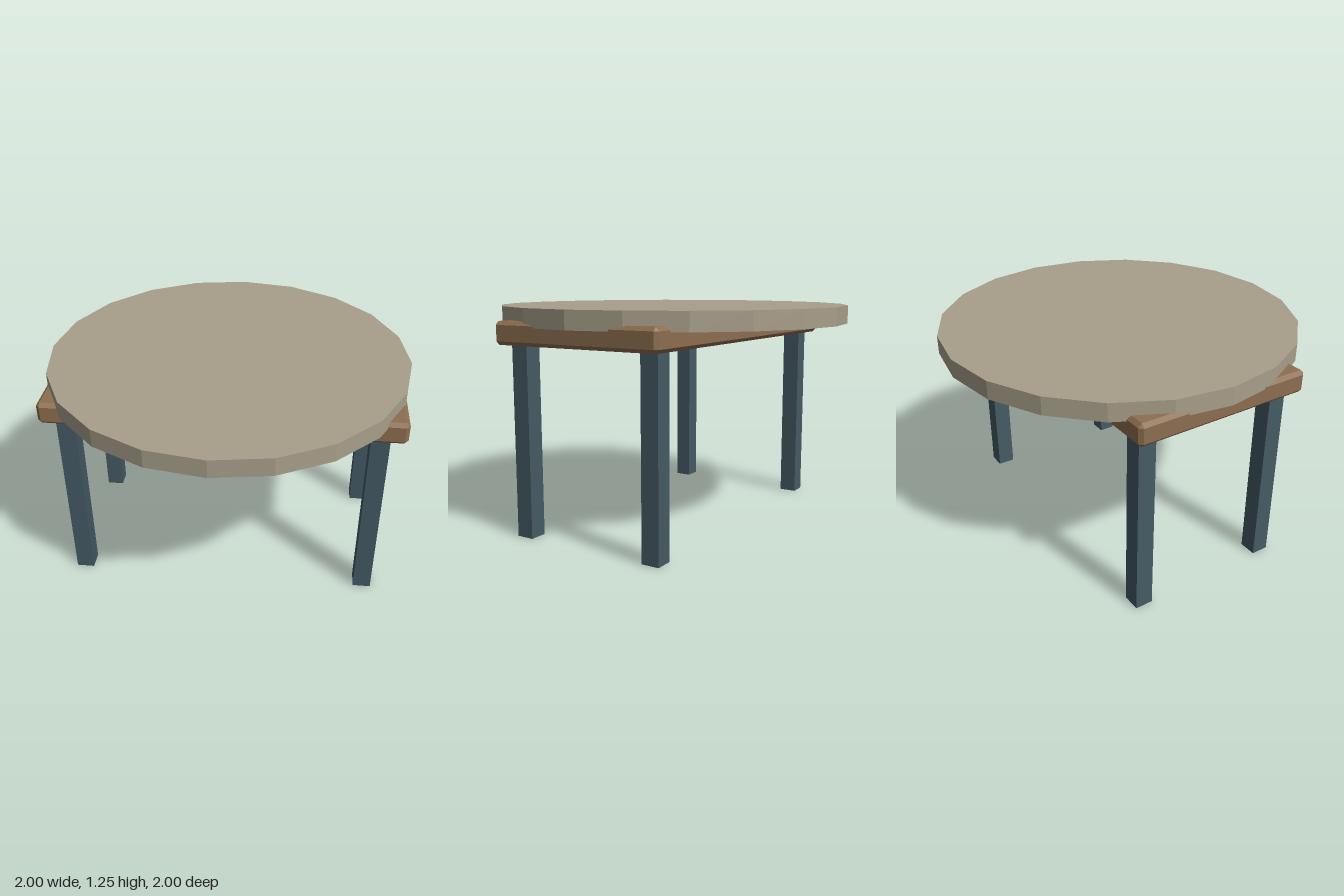
import * as THREE from 'three';
import { ConvexGeometry } from 'three/addons/geometries/ConvexGeometry.js';

const material = (color) => new THREE.MeshStandardMaterial({ color, flatShading: true });

// Box with every edge cut by a single flat chamfer
function chamferedBox(w, h, d, c) {
  const [x, y, z] = [w / 2, h / 2, d / 2];
  const points = [];
  for (const sx of [-1, 1]) for (const sy of [-1, 1]) for (const sz of [-1, 1]) {
    points.push(
      new THREE.Vector3(sx * x, sy * (y - c), sz * (z - c)),
      new THREE.Vector3(sx * (x - c), sy * y, sz * (z - c)),
      new THREE.Vector3(sx * (x - c), sy * (y - c), sz * z),
    );
  }
  return new ConvexGeometry(points);
}

export function createModel() {
  const group = new THREE.Group();
  group.name = 'table';

  const add = (name, geometry, mat, x, y, z) => {
    const mesh = new THREE.Mesh(geometry, mat);
    mesh.name = name;
    mesh.position.set(x, y, z);
    group.add(mesh);
  };

  // Twenty-sided round top
  add('tableTop', new THREE.CylinderGeometry(1, 1, 0.1, 20), material(0xa89f8a), 0, 1.2, 0);

  // Wooden board, its upper part sunk into the round top
  add('baseBoard', chamferedBox(1.926, 0.125, 1.02, 0.02), material(0x8d6e4f), 0, 1.1175, 0);

  // Four square legs
  const legGeometry = new THREE.BoxGeometry(0.1, 1.06, 0.1);
  const legMaterial = material(0x455a64);
  for (const sx of [-1, 1]) for (const sz of [-1, 1]) {
    const name = (sz > 0 ? 'front' : 'back') + (sx > 0 ? 'Left' : 'Right') + 'Leg';
    add(name, legGeometry, legMaterial, sx * 0.83, 0.53, sz * 0.41);
  }

  return group;
}
